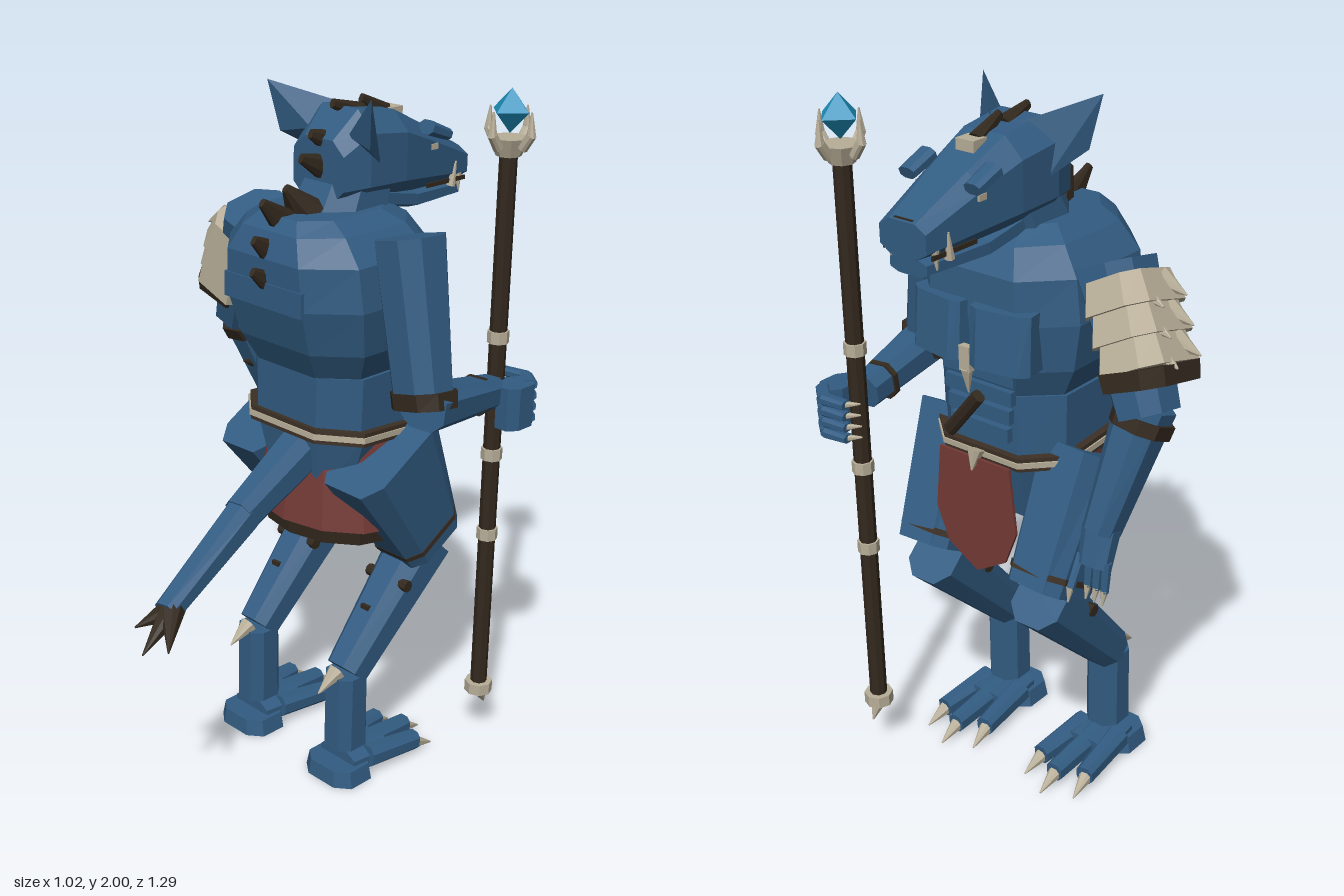
import * as THREE from 'three';
import { ConvexGeometry } from 'three/addons/geometries/ConvexGeometry.js';

const paint = (name, color) => {
  const m = new THREE.MeshStandardMaterial({ color, flatShading: true, side: THREE.DoubleSide });
  m.name = name;
  return m;
};
const V = (x, y, z) => new THREE.Vector3(x, y, z);
const C = 0.045; // x of the body's mirror plane

export function createModel() {
  const root = new THREE.Group();
  root.name = 'beastShaman';
  const blue = paint('blue hide', 0x325c82), brown = paint('dark brown', 0x33291e),
    leather = paint('leather', 0x3d3025), bone = paint('bone', 0xb8ae98),
    red = paint('red cloth', 0x743a36), teal = paint('teal crystal', 0x1e90bc);

  const add = (name, geo, mat, x = 0, y = 0, z = 0) => {
    const m = new THREE.Mesh(geo, mat);
    m.name = name;
    m.position.set(x, y, z);
    root.add(m);
    return m;
  };
  const box = (name, mat, w, h, d, x, y, z) => add(name, new THREE.BoxGeometry(w, h, d), mat, x, y, z);

  // Chamfered-rectangle loft; a section is [along, centreX, centreB, halfX, halfB]
  const loft = (sections, toPoint, cut = 0.55) => {
    const pos = [], idx = [], n = 8;
    const ring = [[1, -cut], [1, cut], [cut, 1], [-cut, 1], [-1, cut], [-1, -cut], [-cut, -1], [cut, -1]];
    for (const [t, cx, cb, hx, hb] of sections)
      for (const [u, v] of ring) pos.push(...toPoint(cx + u * hx, cb + v * hb, t));
    for (let s = 0; s < sections.length - 1; s++)
      for (let i = 0; i < n; i++) {
        const a = s * n + i, b = s * n + (i + 1) % n;
        idx.push(a, a + n, b, b, a + n, b + n);
      }
    const e = (sections.length - 1) * n;
    for (let i = 1; i < n - 1; i++) idx.push(0, i, i + 1, e, e + i + 1, e + i);
    const g = new THREE.BufferGeometry();
    g.setAttribute('position', new THREE.Float32BufferAttribute(pos, 3));
    g.setIndex(idx);
    const flat = g.toNonIndexed();
    flat.computeVertexNormals();
    return flat;
  };
  const upward = (x, b, t) => [x, t, b];
  const forward = (x, b, t) => [x, b, -t];

  // Tapered faceted limb from a to b, with half sizes [width, depth] at each end
  const limb = (name, mat, a, b, s1, s2, cut = 0.5) => {
    const dir = b.clone().sub(a), len = dir.length();
    dir.normalize();
    const x = V(1, 0, 0).addScaledVector(dir, -dir.x).normalize();
    const m = add(name, loft([[0, 0, 0, ...s1], [len, 0, 0, ...s2]], upward, cut), mat);
    m.quaternion.setFromRotationMatrix(new THREE.Matrix4().makeBasis(x, dir, x.clone().cross(dir)));
    m.position.copy(a);
    return m;
  };
  const spike = (name, mat, a, b, r) => limb(name, mat, a, b, [r, r], [0.002, 0.002]);

  // Torso, waist and pelvis
  add('torso', loft([
    [1.24, C, -0.19, 0.2, 0.18], [1.33, C, -0.18, 0.245, 0.22], [1.46, C, -0.165, 0.265, 0.245],
    [1.58, C, -0.16, 0.25, 0.245], [1.65, C, -0.15, 0.19, 0.21], [1.685, C, -0.135, 0.135, 0.165]], upward), blue);
  add('waist', loft([[1.06, C, -0.19, 0.21, 0.185], [1.25, C, -0.19, 0.215, 0.185]], upward), blue);
  add('pelvis', loft([[0.86, C, -0.18, 0.15, 0.14], [1.08, C, -0.19, 0.22, 0.18]], upward), blue);
  limb('neck', blue, V(C, 1.6, -0.18), V(C, 1.76, -0.25), [0.12, 0.13], [0.1, 0.11]);
  box('backPlate', blue, 0.3, 0.07, 0.05, C, 1.48, 0.062);
  for (const s of [-1, 1]) {
    const p = limb('chestPlate', blue, V(C + s * 0.1, 1.34, -0.385), V(C + s * 0.1, 1.5, -0.385), [0.09, 0.065], [0.09, 0.05], 0.7);
    p.rotation.y -= s * 0.15;
  }
  for (let i = 0; i < 4; i++) box('bellyRidge', blue, 0.24 - i * 0.015, 0.04, 0.04, C, 1.3 - i * 0.055, -0.375);

  // Chest ornament
  limb('chestStrap', brown, V(C - 0.02, 1.24, -0.415), V(C + 0.1, 1.1, -0.4), [0.018, 0.014], [0.018, 0.014]);
  box('amulet', bone, 0.035, 0.07, 0.02, C, 1.35, -0.435);
  spike('amuletFang', bone, V(C, 1.32, -0.435), V(C, 1.25, -0.43), 0.015);

  // Belt, tilted down to the front
  for (const [name, mat, h, w, d] of [['belt', leather, 0.02, 0.232, 0.202], ['beltCord', bone, 0.008, 0.236, 0.206]])
    add(name, loft([[-h, C, 0, w, d], [h, C, 0, w, d]], upward), mat, 0, 1.072, -0.19).rotation.x = -0.07;
  spike('beltFang', bone, V(C, 1.075, -0.41), V(C, 1.02, -0.43), 0.022);

  // Skirt, hem and rounded front apron
  const drape = (name, mat, rt, rb, h, y) => {
    const g = new THREE.CylinderGeometry(rt, rb, h, 6, 1, true, -Math.PI / 2, Math.PI);
    add(name, g.scale(1, 1, 0.75), mat, C, y, -0.19);
  };
  drape('skirt', red, 0.22, 0.262, 0.27, 0.925);
  drape('skirtHem', brown, 0.24, 0.228, 0.07, 0.775);
  const cloth = new THREE.Shape();
  cloth.moveTo(-0.12, 0);
  cloth.lineTo(0.12, 0);
  cloth.lineTo(0.14, -0.19);
  cloth.lineTo(0.1, -0.29);
  cloth.lineTo(0, -0.35);
  cloth.lineTo(-0.1, -0.29);
  cloth.lineTo(-0.14, -0.19);
  add('frontApron', new THREE.ExtrudeGeometry(cloth, { depth: 0.008, bevelEnabled: false }), red, C, 1.055, -0.42);

  // Tail with a three-pronged tip
  limb('tailRoot', blue, V(0.07, 1.0, -0.03), V(0.1, 0.89, 0.22), [0.06, 0.065], [0.045, 0.05]);
  limb('tailEnd', blue, V(0.1, 0.89, 0.21), V(0.153, 0.73, 0.53), [0.045, 0.05], [0.035, 0.03]);
  for (const [x, y, z] of [[0.105, 0.69, 0.6], [0.185, 0.655, 0.64], [0.255, 0.68, 0.61]])
    spike('tailBarb', brown, V(0.155, 0.735, 0.51), V(x, y, z), 0.032);

  // Head, jaw and snout
  add('head', loft([
    [0.12, C, 1.785, 0.095, 0.085], [0.2, C, 1.815, 0.12, 0.13], [0.34, C, 1.805, 0.12, 0.12],
    [0.47, C, 1.775, 0.1, 0.09], [0.645, C, 1.732, 0.075, 0.045]], forward), blue);
  add('lowerJaw', loft([[0.3, C, 1.69, 0.09, 0.03], [0.43, C, 1.665, 0.085, 0.028], [0.63, C, 1.66, 0.06, 0.022]], forward), blue);
  box('nose', brown, 0.06, 0.025, 0.03, C, 1.77, -0.625);
  box('crestCap', bone, 0.058, 0.03, 0.05, C, 1.905, -0.39);
  for (const s of [-1, 1]) {
    const ear = [[0.03, 1.93, -0.28], [0.115, 1.8, -0.24], [0.17, 1.86, -0.14], [0.195, 2, -0.115], [0.07, 1.88, -0.16]];
    add('ear', new ConvexGeometry(ear.map(([a, y, z]) => V(C + s * a, y, z))), blue);
    limb('brow', blue, V(C + s * 0.105, 1.87, -0.43), V(C + s * 0.105, 1.84, -0.51), [0.027, 0.02], [0.025, 0.016]);
    box('eye', bone, 0.008, 0.016, 0.028, C + s * 0.1, 1.81, -0.47);
    box('mouthLine', brown, 0.006, 0.012, 0.16, C + s * 0.078, 1.695, -0.55);
    spike('fang', bone, V(C + s * 0.07, 1.71, -0.61), V(C + s * 0.075, 1.66, -0.61), 0.01);
    spike('tusk', bone, V(C + s * 0.08, 1.68, -0.57), V(C + s * 0.088, 1.75, -0.58), 0.012);
  }

  // Mane of flat spines: base y, z to tip y, z, then half width and half depth
  for (const [y, z, ty, tz, w, r] of [
    [1.905, -0.37, 1.955, -0.28, 0.02, 0.025], [1.92, -0.27, 1.955, -0.17, 0.025, 0.025],
    [1.86, -0.15, 1.885, -0.09, 0.02, 0.028], [1.79, -0.14, 1.825, -0.055, 0.02, 0.035],
    [1.68, -0.07, 1.755, 0.0, 0.055, 0.045], [1.65, -0.01, 1.73, 0.085, 0.022, 0.045],
    [1.59, 0.05, 1.635, 0.115, 0.016, 0.035], [1.51, 0.06, 1.55, 0.12, 0.016, 0.03]])
    limb('maneSpine', brown, V(C, y, z), V(C, ty, tz), [w, r], [0.008, 0.012]);

  // Legs
  for (const s of [-1, 1]) {
    const x = C + s * 0.19;
    limb('thigh', blue, V(C + s * 0.215, 1.03, -0.16), V(x + s * 0.01, 0.69, -0.36), [0.105, 0.17], [0.088, 0.11], 0.65);
    limb('thighBand', leather, V(x + s * 0.01, 0.735, -0.333), V(x + s * 0.01, 0.72, -0.342), [0.094, 0.118], [0.093, 0.116], 0.65);
    limb('shin', blue, V(x, 0.67, -0.38), V(x, 0.34, -0.07), [0.08, 0.085], [0.055, 0.06]);
    limb('metatarsus', blue, V(x, 0.34, -0.07), V(x, 0.1, -0.07), [0.055, 0.057], [0.055, 0.06]);
    spike('heelSpur', bone, V(x, 0.355, -0.03), V(x, 0.31, 0.045), 0.024);
    const stud = add('shinStud', new THREE.CylinderGeometry(0.018, 0.018, 0.155, 8), brown, x, 0.585, -0.24);
    stud.rotation.z = Math.PI / 2;
    box('shinMark', brown, 0.03, 0.02, 0.02, x, 0.52, -0.15);
    add('heel', loft([[0.005, x, -0.045, 0.095, 0.075], [0.055, x, -0.045, 0.085, 0.07]], upward), blue);
    limb('instep', blue, V(x, 0.05, -0.04), V(x, 0.05, -0.19), [0.07, 0.04], [0.085, 0.035]);
    for (const t of [-1, 0, 1]) {
      const tz = t ? -0.29 : -0.33, tx = x + t * 0.08;
      limb('toe', blue, V(x + t * 0.06, 0.062, -0.1), V(tx, 0.045, tz), [0.034, 0.032], [0.026, 0.028]);
      spike('toeClaw', bone, V(tx, 0.045, tz + 0.02), V(tx + t * 0.01, 0.01, tz - 0.065), 0.022);
    }
  }

  // Right arm, hanging and leaning forward, with layered shoulder armour
  limb('rightUpperArm', blue, V(-0.24, 1.6, -0.18), V(-0.4, 1.25, -0.25), [0.09, 0.11], [0.07, 0.085]);
  for (let i = 0; i < 3; i++) {
    const x = -0.285 - i * 0.037, y = 1.575 - i * 0.065, z = -0.19 - i * 0.02;
    limb('shoulderPlate', bone, V(x, y, z), V(x - 0.04, y - 0.072, z - 0.02), [0.085, 0.11], [0.1, 0.135], 0.6);
    for (const t of [-1, 1])
      spike('plateSpike', bone, V(x - 0.07, y, z + t * 0.04), V(x - 0.145, y - 0.03, z + t * 0.05), 0.03);
  }
  limb('armourTrim', brown, V(-0.4, 1.385, -0.255), V(-0.417, 1.34, -0.265), [0.1, 0.135], [0.095, 0.13], 0.6);
  limb('rightForearm', blue, V(-0.385, 1.27, -0.24), V(-0.335, 0.94, -0.36), [0.072, 0.07], [0.045, 0.05]);
  limb('rightArmBand', brown, V(-0.385, 1.24, -0.25), V(-0.38, 1.205, -0.265), [0.076, 0.076], [0.074, 0.074]);
  spike('forearmSpike', brown, V(-0.36, 1.09, -0.27), V(-0.36, 1.11, -0.21), 0.02);
  box('forearmStud', brown, 0.022, 0.025, 0.1, -0.36, 1.02, -0.33);
  limb('rightHand', blue, V(-0.335, 0.95, -0.36), V(-0.335, 0.85, -0.39), [0.05, 0.035], [0.045, 0.03]);
  for (let i = 0; i < 4; i++) {
    const x = -0.375 + i * 0.027, z = i === 3 ? -0.44 : -0.4;
    limb('finger', blue, V(x, 0.87, -0.39), V(x, 0.785, z), [0.012, 0.014], [0.01, 0.01]);
    spike('fingerClaw', bone, V(x, 0.79, z), V(x, 0.75, z - 0.01), 0.01);
  }

  // Left arm, bent forward around the staff
  limb('leftUpperArm', blue, V(0.325, 1.645, -0.185), V(0.42, 1.2, -0.155), [0.08, 0.095], [0.075, 0.07]);
  limb('leftArmBand', brown, V(0.413, 1.245, -0.16), V(0.423, 1.2, -0.155), [0.085, 0.08], [0.085, 0.075]);
  limb('leftForearm', blue, V(0.44, 1.21, -0.13), V(0.4, 1.16, -0.46), [0.07, 0.06], [0.045, 0.045]);
  limb('wristBand', brown, V(0.405, 1.17, -0.38), V(0.403, 1.168, -0.395), [0.053, 0.054], [0.052, 0.053]);
  limb('leftHand', blue, V(0.455, 1.19, -0.5), V(0.455, 1.065, -0.5), [0.042, 0.058], [0.042, 0.058]);
  for (let i = 0; i < 4; i++) {
    const y = 1.08 + i * 0.033;
    limb('grippingFinger', blue, V(0.475, y, -0.54), V(0.42, y, -0.585), [0.02, 0.015], [0.02, 0.015]);
    limb('grippingFingertip', blue, V(0.425, y, -0.585), V(0.35, y, -0.578), [0.018, 0.015], [0.018, 0.012]);
    spike('grippingClaw', bone, V(0.36, y, -0.58), V(0.325, y, -0.55), 0.01);
  }

  // Staff with rings, claw crown and crystal
  const SX = 0.383, SZ = -0.5;
  add('staffShaft', new THREE.CylinderGeometry(0.025, 0.025, 1.67, 8), brown, SX, 1.0, SZ);
  for (const [y, r] of [[1.31, 0.031], [0.955, 0.031], [0.7, 0.031], [0.18, 0.042]])
    add('staffRing', new THREE.CylinderGeometry(r, r, 0.035, 8), bone, SX, y, SZ);
  spike('staffFoot', bone, V(SX, 0.17, SZ), V(SX, 0.11, SZ - 0.03), 0.024);
  add('staffCollar', new THREE.CylinderGeometry(0.055, 0.035, 0.05, 8), bone, SX, 1.845, SZ);
  for (let i = 0; i < 4; i++) {
    const c = Math.cos(i * Math.PI / 2), d = Math.sin(i * Math.PI / 2);
    const at = (r, y) => V(SX + c * r, y, SZ + d * r);
    limb('crownClawRoot', bone, at(0.045, 1.845), at(0.073, 1.885), [0.013, 0.013], [0.012, 0.012]);
    spike('crownClaw', bone, at(0.072, 1.88), at(0.07, 1.945), 0.012);
  }
  add('crystal', new THREE.OctahedronGeometry(0.06), teal, SX, 1.94, SZ);

  return root;
}
